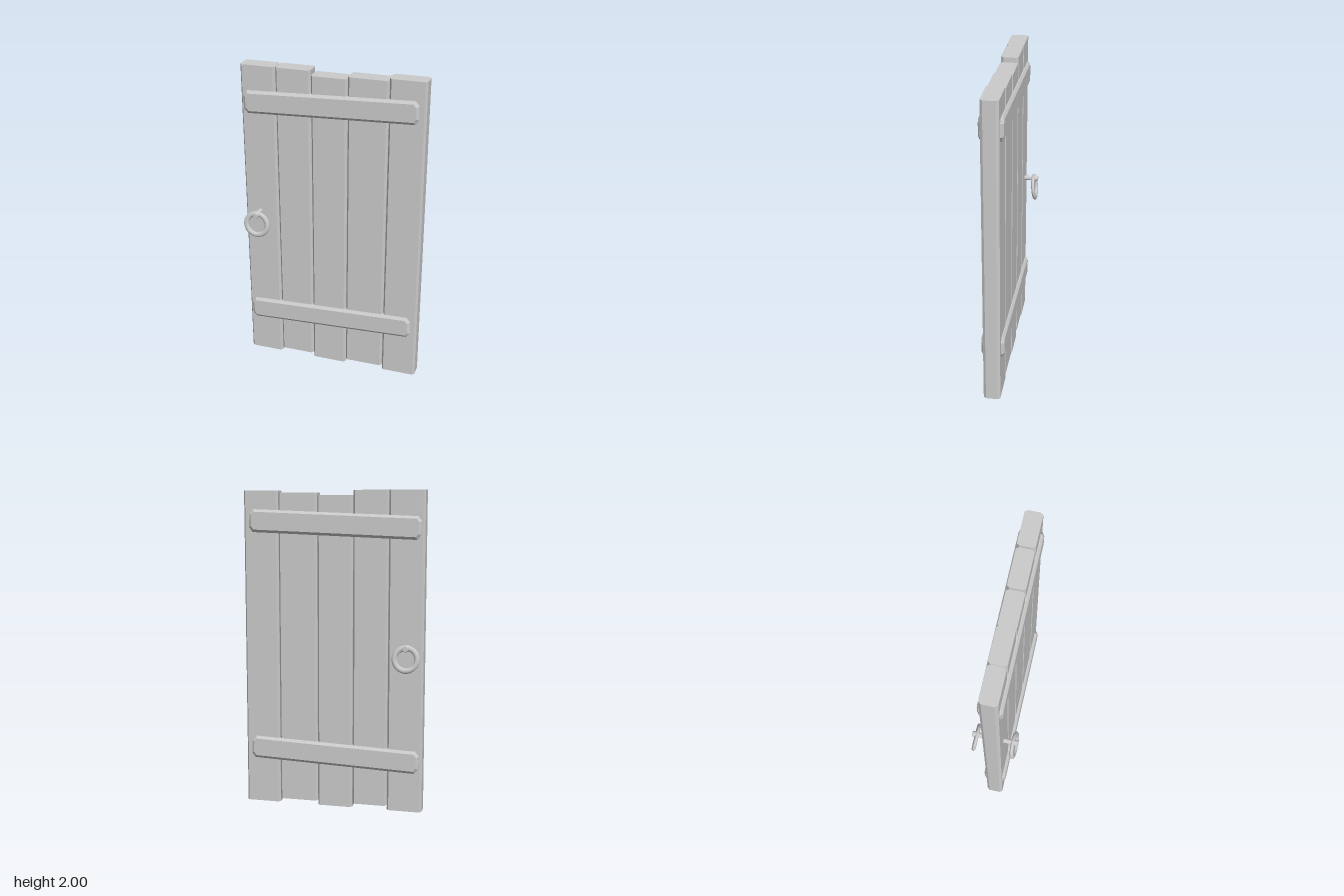
import * as THREE from 'three';

const material = new THREE.MeshStandardMaterial({ color: 0xcccccc, flatShading: true });
const smooth = new THREE.MeshStandardMaterial({ color: 0xcccccc });

function named(geometry, name, mat = material) {
  const mesh = new THREE.Mesh(geometry, mat);
  mesh.name = name;
  return mesh;
}

// Rectangle with its four corners cut off
function cutRectangle(w, h, cx, cy) {
  const x = w / 2, y = h / 2;
  return new THREE.Shape([
    [-x + cx, -y], [x - cx, -y], [x, -y + cy], [x, y - cy],
    [x - cx, y], [-x + cx, y], [-x, y - cy], [-x, -y + cy],
  ].map(([a, b]) => new THREE.Vector2(a, b)));
}

// Upright plank with chamfered long edges
function plank(x0, x1, y0, y1) {
  const geo = new THREE.ExtrudeGeometry(cutRectangle(x1 - x0, 0.106, 0.012, 0.016),
    { depth: y1 - y0, bevelEnabled: false });
  geo.rotateX(-Math.PI / 2);
  geo.translate((x0 + x1) / 2, y0, 0);
  return named(geo, 'plank');
}

// Slightly tilted crossbar with a bevelled outer face
function batten(y, side) {
  const bevel = 0.016;
  const geo = new THREE.ExtrudeGeometry(cutRectangle(1.088 - 2 * bevel, 0.142 - 2 * bevel, 0.016, 0.02), {
    depth: 0.03, bevelEnabled: true, bevelSize: bevel, bevelThickness: 0.012, bevelSegments: 1,
  });
  geo.translate(0, 0, 0.03);
  if (side < 0) geo.rotateY(Math.PI);
  geo.rotateZ(0.04);
  geo.translate(-0.01, y, 0);
  return named(geo, side > 0 ? 'frontBatten' : 'backBatten');
}

// Pull ring hanging from the pin, its foot swung outward
function pullRing(side) {
  const geo = new THREE.TorusGeometry(0.07, 0.017, 12, 32);
  geo.scale(1, 1, 0.7);
  geo.rotateX(-0.12 * side);
  geo.translate(-0.475, 0.982, 0.12 * side);
  return named(geo, side > 0 ? 'frontRing' : 'backRing', smooth);
}

export function createModel() {
  const door = new THREE.Group();
  door.name = 'plankDoor';

  // Planks: left, right, bottom, top
  [
    [-0.573, -0.352, 0, 2],
    [-0.35, -0.129, 0.025, 2],
    [-0.127, 0.098, 0, 1.97],
    [0.1, 0.348, 0.025, 1.985],
    [0.35, 0.573, 0, 2],
  ].forEach((p) => door.add(plank(...p)));

  // Crossbars and rings on both faces
  for (const side of [1, -1]) {
    door.add(batten(1.793, side), batten(0.342, side), pullRing(side));
  }

  // Pin through the door carrying both rings, with slightly wider heads
  const profile = [[0, -0.142], [0.016, -0.142], [0.019, -0.138], [0.019, -0.118], [0.016, -0.104],
    [0.016, 0.104], [0.019, 0.118], [0.019, 0.138], [0.016, 0.142], [0, 0.142]];
  const pin = new THREE.LatheGeometry(profile.map(([r, y]) => new THREE.Vector2(r, y)), 12);
  pin.rotateX(Math.PI / 2);
  pin.translate(-0.475, 1.047, 0);
  door.add(named(pin, 'handlePin'));

  return door;
}
